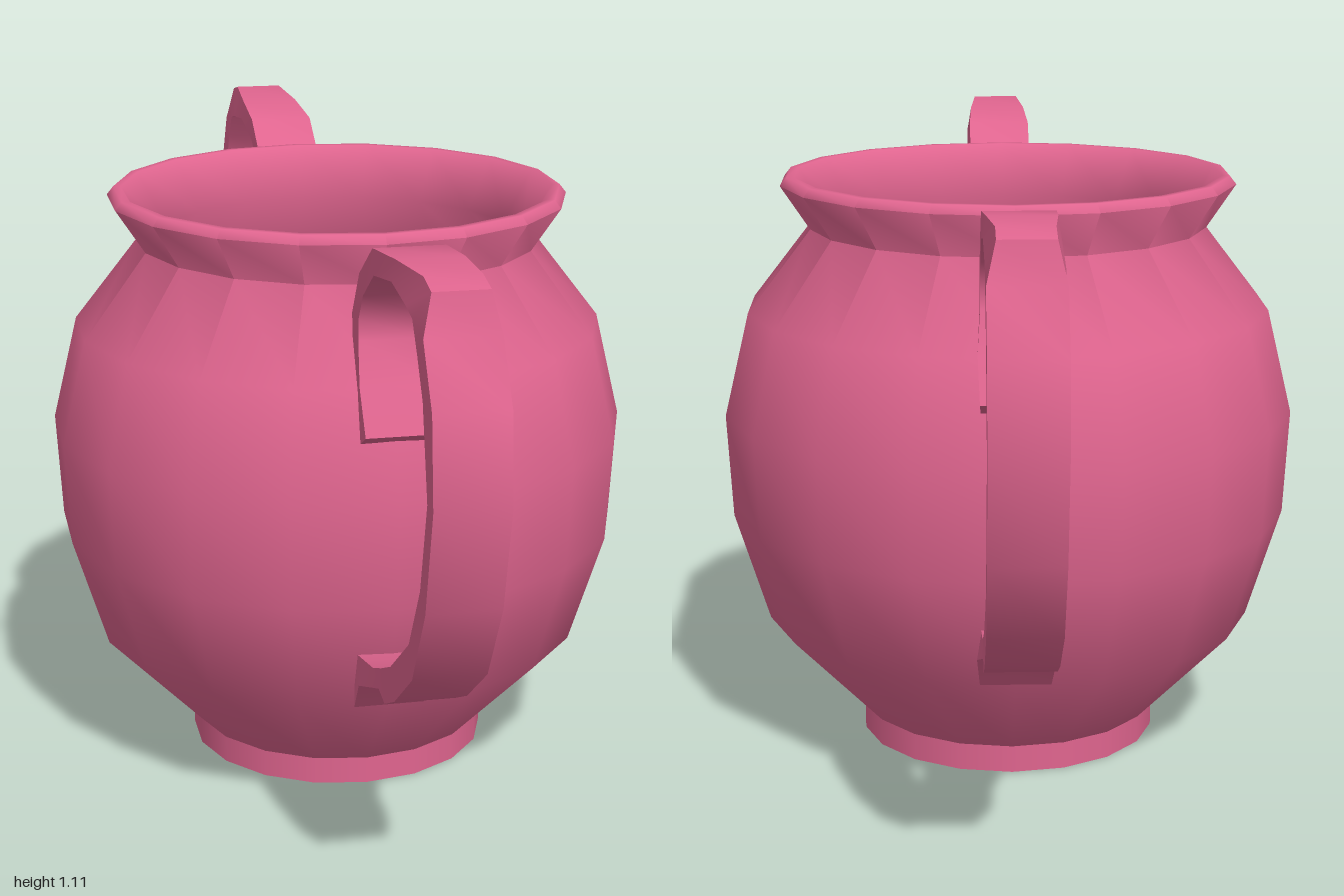
import * as THREE from 'three';
import { toCreasedNormals } from 'three/addons/utils/BufferGeometryUtils.js';

const SIDES = 18;

// Strap lofted through rectangular sections: [outer z, outer y, inner z, inner y, outer half width, inner half width]
function strapGeometry(sections) {
  const positions = [];
  const index = [];
  for (const [oz, oy, iz, iy, ow, iw] of sections) {
    positions.push(ow, oy, oz, -ow, oy, oz, -iw, iy, iz, iw, iy, iz);
  }
  const last = (sections.length - 1) * 4;
  for (let i = 0; i < last; i += 4) {
    for (let j = 0; j < 4; j++) {
      const a = i + j;
      const b = i + (j + 1) % 4;
      index.push(a, b, a + 4, b, b + 4, a + 4);
    }
  }
  index.push(2, 1, 0, 3, 2, 0);
  index.push(last, last + 1, last + 2, last, last + 2, last + 3);
  const geometry = new THREE.BufferGeometry();
  geometry.setAttribute('position', new THREE.Float32BufferAttribute(positions, 3));
  geometry.setIndex(index);
  return toCreasedNormals(geometry, 0.7);
}

export function createModel() {
  const model = new THREE.Group();
  model.name = 'twoHandledPot';
  const material = new THREE.MeshStandardMaterial({ color: 0xe0658f });

  const add = (name, geometry) => {
    const mesh = new THREE.Mesh(geometry, material);
    mesh.name = name;
    model.add(mesh);
    return mesh;
  };

  // Foot ring
  add('foot', new THREE.CylinderGeometry(0.278, 0.278, 0.05, SIDES)).position.y = 0.025;

  // Bowl: outer wall up to the lip, then the inner wall down to the floor
  const profile = [
    [0.278, 0.05], [0.455, 0.235], [0.518, 0.44], [0.528, 0.63], [0.482, 0.82],
    [0.365, 0.97], [0.418, 1.05], [0.406, 1.065], [0.392, 1.065],
    [0.338, 0.97], [0.46, 0.81], [0.506, 0.63], [0.496, 0.445], [0.436, 0.245],
    [0.265, 0.07], [0, 0.07],
  ].map(([r, y]) => new THREE.Vector2(r, y));
  add('bowl', toCreasedNormals(new THREE.LatheGeometry(profile, SIDES), 1.25));

  // Handle strap, from the upper curl over the peak to the lower end
  const strap = strapGeometry([
    [0.495, 0.733, 0.545, 0.758, 0.06, 0.062],
    [0.47, 0.82, 0.51, 0.835, 0.06, 0.065],
    [0.43, 0.9, 0.475, 0.905, 0.06, 0.06],
    [0.425, 0.94, 0.475, 0.94, 0.06, 0.06],
    [0.48, 1.02, 0.51, 0.99, 0.06, 0.06],
    [0.58, 1.085, 0.59, 1.043, 0.06, 0.06],
    [0.72, 1.1, 0.715, 1.064, 0.055, 0.06],
    [0.86, 1.107, 0.81, 1.052, 0.045, 0.06],
    [0.91, 1.096, 0.855, 1.043, 0.045, 0.06],
    [0.925, 1.03, 0.89, 0.995, 0.06, 0.06],
    [0.985, 0.935, 0.927, 0.936, 0.06, 0.06],
    [1.0, 0.79, 0.963, 0.79, 0.06, 0.06],
    [0.96, 0.615, 0.925, 0.64, 0.06, 0.06],
    [0.88, 0.475, 0.855, 0.524, 0.06, 0.06],
    [0.76, 0.385, 0.73, 0.433, 0.06, 0.06],
    [0.69, 0.35, 0.66, 0.4, 0.06, 0.06],
    [0.645, 0.357, 0.6, 0.375, 0.06, 0.06],
    [0.525, 0.31, 0.507, 0.353, 0.068, 0.06],
    [0.46, 0.24, 0.45, 0.34, 0.062, 0.06],
  ]);
  add('frontHandle', strap);
  add('backHandle', strap).rotation.y = Math.PI;

  return model;
}
